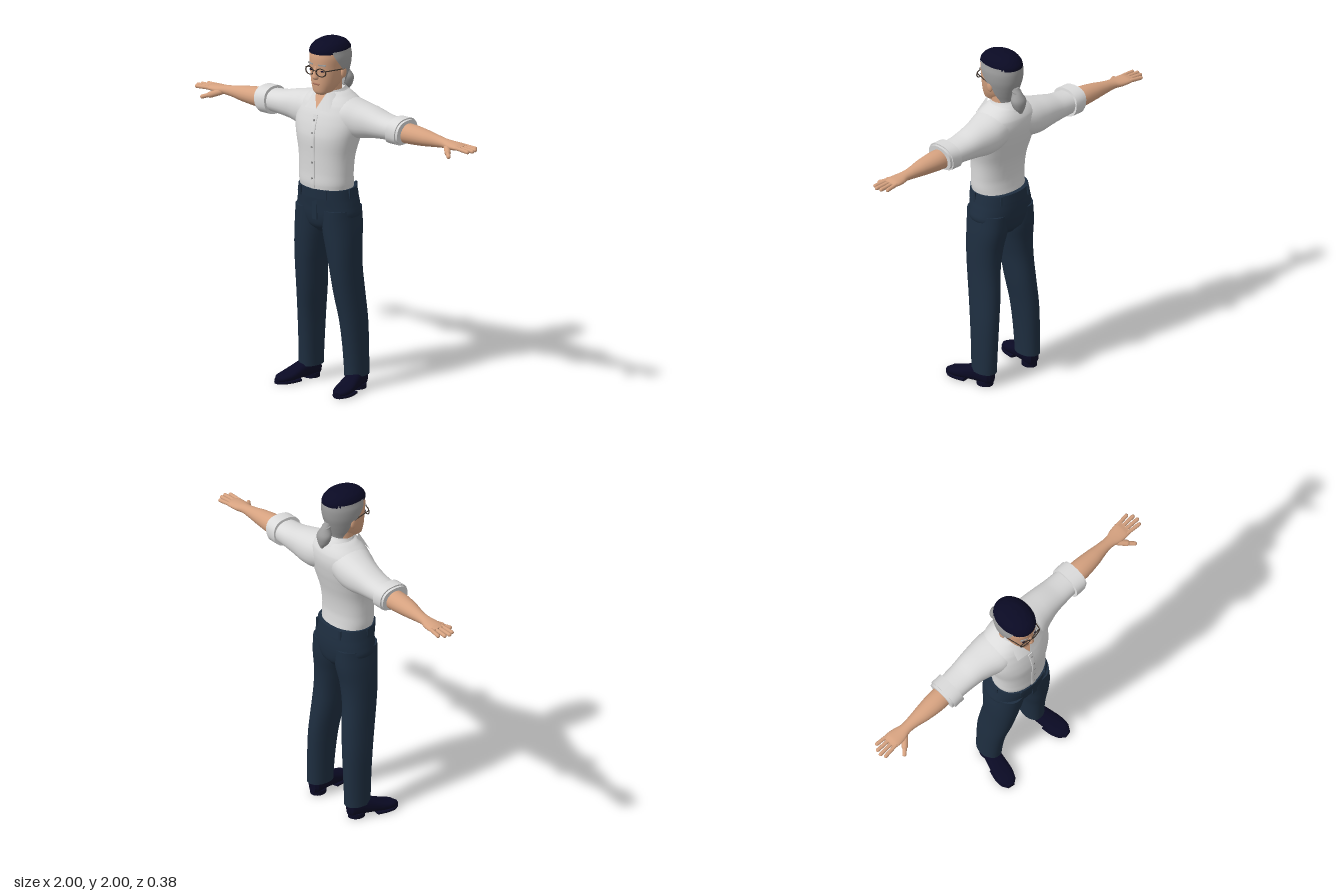
import * as THREE from 'three';

const mat = (name, hex, side = THREE.FrontSide) => {
  const m = new THREE.MeshStandardMaterial({ color: hex, side });
  m.name = name;
  return m;
};

// Smooth loft through oval sections [t, aMin, aMax, bMin, bMax, startAngle].
// axis y: t=y a=x b=z; axis x: t=x a=z b=y; axis z: t=z a=y b=x.
function loft(sections, { axis = 'y', seg = 28, power = 2, caps = true, steps = 4 } = {}) {
  const rows = [];
  const n = sections.length;
  for (let i = 0; i < n - 1; i++) {
    const [p0, p1, p2, p3] = [-1, 0, 1, 2].map(k => sections[THREE.MathUtils.clamp(i + k, 0, n - 1)]);
    for (let s = 0; s < steps; s++) {
      const t = s / steps;
      rows.push(p1.map((v, c) => {
        if (c === 0) return v + (p2[0] - v) * t;
        return 0.5 * (2 * v + (p2[c] - p0[c]) * t + (2 * p0[c] - 5 * v + 4 * p2[c] - p3[c]) * t * t
          + (3 * v - p0[c] - 3 * p2[c] + p3[c]) * t * t * t);
      }));
    }
  }
  rows.push(sections[n - 1]);
  const open = sections[0].length > 5;
  const cols = open ? seg + 1 : seg;
  const pos = [], idx = [];
  const put = (t, a, b) => pos.push(...(axis === 'y' ? [a, t, b] : axis === 'x' ? [t, b, a] : [b, a, t]));
  const curve = v => Math.sign(v) * Math.pow(Math.abs(v), 2 / power);
  const ring = ([t, a0, a1, b0, b1, start = 0]) => {
    for (let j = 0; j < cols; j++) {
      const th = start + (2 * Math.PI - 2 * start) * j / seg;
      put(t, (a0 + a1) / 2 + (a1 - a0) / 2 * curve(Math.sin(th)), (b0 + b1) / 2 + (b1 - b0) / 2 * curve(Math.cos(th)));
    }
  };
  rows.forEach(ring);
  for (let i = 0; i < rows.length - 1; i++) {
    for (let j = 0; j < seg; j++) {
      const k = (j + 1) % cols, a = i * cols + j, b = i * cols + k;
      idx.push(a, b, b + cols, a, b + cols, a + cols);
    }
  }
  if (caps && !open) {
    for (const [row, top] of [[rows[0], false], [rows[rows.length - 1], true]]) {
      const base = pos.length / 3;
      ring(row);
      put(row[0], (row[1] + row[2]) / 2, (row[3] + row[4]) / 2);
      for (let j = 0; j < cols; j++) {
        const k = (j + 1) % cols;
        idx.push(base + cols, base + (top ? j : k), base + (top ? k : j));
      }
    }
  }
  const g = new THREE.BufferGeometry();
  g.setAttribute('position', new THREE.Float32BufferAttribute(pos, 3));
  g.setIndex(idx);
  g.computeVertexNormals();
  return g;
}

// Offset each vertex by a rule
function bend(g, rule) {
  const p = g.attributes.position, v = new THREE.Vector3();
  for (let i = 0; i < p.count; i++) {
    rule(v.fromBufferAttribute(p, i));
    p.setXYZ(i, v.x, v.y, v.z);
  }
  g.computeVertexNormals();
  return g;
}

const polygon = (pts, idx) => {
  const g = new THREE.BufferGeometry();
  g.setAttribute('position', new THREE.Float32BufferAttribute(pts.flat(), 3));
  g.setIndex(idx);
  g.computeVertexNormals();
  return g;
};

export function createModel() {
  const model = new THREE.Group();
  model.name = 'standingMan';
  const skin = mat('skin', 0xd6a280), lip = mat('lip', 0xa8705a), grey = mat('greyHair', 0x9c9c9c);
  const navy = mat('darkNavy', 0x0a0a24), trouser = mat('trouserBlue', 0x1e2e40), white = mat('shirtWhite', 0xdadada);
  const whiteThin = mat('collarWhite', 0xdadada, THREE.DoubleSide);
  const frame = mat('glassesFrame', 0x3a3029), button = mat('buttonGrey', 0x8f8f8f);
  const side = new THREE.Group();
  side.name = 'leftSide';
  const add = (name, geo, m, parent = model, at = [0, 0, 0], scale = [1, 1, 1]) => {
    const mesh = new THREE.Mesh(geo, m);
    mesh.name = name;
    mesh.position.set(...at);
    mesh.scale.set(...scale);
    parent.add(mesh);
    return mesh;
  };
  const sym = rows => rows.map(([y, w, back, front, ...rest]) => [y, -w, w, back, front, ...rest]);
  const rod = (name, a, b, r, m, parent = side) => {
    const va = new THREE.Vector3(...a), d = new THREE.Vector3(...b).sub(va);
    const mesh = add(name, new THREE.CapsuleGeometry(r, d.length(), 4, 10), m, parent);
    mesh.position.copy(va).addScaledVector(d, 0.5);
    mesh.quaternion.setFromUnitVectors(new THREE.Vector3(0, 1, 0), d.normalize());
  };

  // Shirt body with front placket and buttons
  const torso = sym([
    [1.15, 0.158, -0.11, 0.132], [1.19, 0.163, -0.105, 0.137], [1.25, 0.164, -0.102, 0.135], [1.35, 0.171, -0.115, 0.137],
    [1.45, 0.195, -0.142, 0.14], [1.52, 0.21, -0.16, 0.127], [1.58, 0.205, -0.17, 0.108], [1.63, 0.185, -0.166, 0.086],
    [1.66, 0.15, -0.152, 0.068], [1.69, 0.1, -0.13, 0.045], [1.705, 0.07, -0.11, 0.03]]);
  add('shirtBody', loft(torso, { power: 2.2, seg: 36 }), white);
  add('placket', loft(torso.slice(0, 7).map(r => [r[0], -0.016, 0.016, r[4] - 0.02, r[4] + 0.004]), { power: 5, seg: 16 }), white);
  for (const [y, z] of [[1.22, 0.14], [1.31, 0.14], [1.4, 0.143], [1.48, 0.139], [1.55, 0.122]]) {
    add('button', new THREE.CylinderGeometry(0.006, 0.006, 0.006, 10).rotateX(Math.PI / 2), button, model, [0, y, z]);
  }

  // Collar, open neck and throat
  add('collarBand', bend(loft(sym([[1.655, 0.108, -0.145, 0.06, 0.65], [1.685, 0.086, -0.125, 0.05, 0.65], [1.71, 0.072, -0.105, 0.04, 0.65]]),
    { seg: 24 }), v => { v.y -= v.z * 0.12; }), whiteThin);
  add('neck', loft(sym([[1.6, 0.07, -0.1, 0.05], [1.68, 0.06, -0.09, 0.045], [1.76, 0.06, -0.085, 0.05]])), skin);
  add('openNeck', polygon([[-0.042, 1.7, 0.06], [0, 1.608, 0.107], [0.042, 1.7, 0.06]], [0, 1, 2]), skin);
  add('collarWing', polygon([[0.04, 1.705, 0.058], [0.003, 1.612, 0.112], [0.086, 1.605, 0.1], [0.075, 1.695, 0.02]],
    [0, 1, 2, 0, 2, 3]), whiteThin, side);

  // Sleeve and rolled cuff
  add('sleeve', loft([
    [0.06, -0.16, 0.075, 1.47, 1.68], [0.14, -0.168, 0.075, 1.45, 1.667], [0.21, -0.165, 0.05, 1.45, 1.65],
    [0.28, -0.158, 0.03, 1.463, 1.634], [0.36, -0.15, 0.02, 1.472, 1.613], [0.46, -0.145, 0.015, 1.478, 1.602]],
  { axis: 'x', power: 2.2 }), white, side);
  const cuffs = [[0.435, 0.5, 0], [0.47, 0.515, 0.008]];
  for (const [x0, x1, s] of cuffs) {
    const r = [-0.157 + s, 0.032 - s, 1.463 + s, 1.617 - s];
    add('rolledCuff', bend(loft([[x0, ...r], [x1, ...r]], { axis: 'x', power: 2.4, steps: 1 }),
      v => { v.x += (v.y - 1.54) * 0.13; }), white, side);
  }

  // Forearm, palm, fingers and thumb
  add('forearm', loft([
    [0.47, -0.125, -0.008, 1.475, 1.59], [0.56, -0.125, -0.006, 1.478, 1.588], [0.66, -0.115, -0.018, 1.486, 1.575],
    [0.74, -0.105, -0.035, 1.495, 1.56], [0.79, -0.103, -0.036, 1.5, 1.552], [0.83, -0.115, -0.026, 1.5, 1.547],
    [0.88, -0.122, -0.024, 1.505, 1.543], [0.91, -0.118, -0.028, 1.51, 1.535]], { axis: 'x', seg: 20 }), skin, side);
  [[-0.109, 0.96], [-0.085, 0.982], [-0.061, 0.988], [-0.038, 0.975]].forEach(([z, x]) =>
    rod('finger', [0.89, 1.525, z], [x, 1.52, z + (z + 0.07) * 0.2], 0.011, skin));
  rod('thumbBase', [0.815, 1.515, -0.045], [0.855, 1.5, -0.005], 0.018, skin);
  rod('thumb', [0.85, 1.502, -0.008], [0.887, 1.49, 0.025], 0.012, skin);

  // Trousers
  add('trouserLeg', loft([
    [0.08, 0.106, 0.222, -0.127, 0.03], [0.25, 0.098, 0.219, -0.13, 0.04], [0.4, 0.085, 0.215, -0.13, 0.056],
    [0.55, 0.062, 0.207, -0.12, 0.08], [0.7, 0.045, 0.203, -0.106, 0.1], [0.82, 0.022, 0.202, -0.11, 0.112],
    [0.93, 0, 0.197, -0.128, 0.12], [1.04, 0, 0.185, -0.132, 0.126]], { power: 2.2 }), trouser, side);
  add('trouserSeat', loft(sym([
    [0.9, 0.05, -0.09, 0.07], [0.94, 0.13, -0.125, 0.11], [1, 0.19, -0.137, 0.126], [1.06, 0.185, -0.14, 0.132],
    [1.12, 0.172, -0.136, 0.138]]), { power: 2.3, seg: 36 }), trouser);
  add('waistband', loft(sym([[1.11, 0.176, -0.138, 0.141], [1.16, 0.166, -0.132, 0.142]]), { power: 2.3, seg: 36, steps: 1 }), trouser);
  add('fly', new THREE.BoxGeometry(0.03, 0.13, 0.008), trouser, model, [0.012, 1.05, 0.131]);
  for (const [x, z, turn] of [[0.09, 0.129, 0.3], [0.171, 0.02, 1.57], [0.1, -0.12, 2.7]]) {
    add('beltLoop', new THREE.BoxGeometry(0.012, 0.055, 0.01), trouser, side, [x, 1.136, z]).rotation.y = turn;
  }

  // Shoe with toe turned out
  const shoe = new THREE.Group();
  shoe.name = 'shoe';
  shoe.position.x = 0.18;
  shoe.rotation.y = 0.2;
  side.add(shoe);
  const last = [
    [-0.112, 0.02, 0.085, -0.022, 0.022], [-0.095, 0.012, 0.108, -0.04, 0.04], [-0.02, 0.012, 0.112, -0.045, 0.045],
    [0.05, 0.01, 0.086, -0.05, 0.052], [0.11, 0.008, 0.062, -0.053, 0.055], [0.16, 0.008, 0.049, -0.042, 0.044], [0.188, 0.01, 0.034, -0.018, 0.02]];
  add('shoeUpper', loft(last, { axis: 'z', power: 2.4 }), navy, shoe);
  add('shoeSole', loft(last.slice(3).map(r => [r[0], 0, 0.018, r[3] - 0.002, r[4] + 0.002]), { axis: 'z', power: 5 }), navy, shoe);
  add('shoeHeel', new THREE.CylinderGeometry(0.042, 0.042, 0.026, 20), navy, shoe, [0, 0.013, -0.06], [1, 1, 1.15]);

  // Head, nose and mouth
  add('head', loft(sym([
    [1.69, 0.03, 0.03, 0.085], [1.705, 0.052, -0.02, 0.1], [1.75, 0.073, -0.07, 0.106], [1.8, 0.086, -0.1, 0.108],
    [1.85, 0.093, -0.125, 0.111], [1.9, 0.098, -0.138, 0.113], [1.94, 0.094, -0.135, 0.108]]), { power: 2.2 }), skin);
  add('nose', loft(sym([[1.782, 0.012, 0.09, 0.118], [1.793, 0.019, 0.09, 0.131], [1.815, 0.013, 0.09, 0.128],
    [1.86, 0.009, 0.09, 0.113]]), { seg: 14 }), skin);
  const ball = new THREE.SphereGeometry(1, 16, 10);
  add('mouth', ball, lip, model, [0, 1.755, 0.104], [0.026, 0.006, 0.005]);
  add('ear', ball, skin, side, [0.093, 1.815, -0.02], [0.012, 0.034, 0.02]);
  add('eye', ball, navy, side, [0.038, 1.832, 0.1], [0.014, 0.005, 0.005]);
  add('eyebrow', new THREE.BoxGeometry(0.044, 0.008, 0.008), grey, side, [0.04, 1.868, 0.103]).rotation.y = 0.3;

  // Glasses
  const rim = add('glassesRim', new THREE.TorusGeometry(0.026, 0.0032, 6, 24), frame, side, [0.041, 1.828, 0.113], [1.2, 0.85, 1]);
  rim.rotation.y = 0.15;
  rod('glassesArm', [0.073, 1.84, 0.106], [0.1, 1.835, -0.015], 0.003, frame);
  rod('glassesBridge', [-0.012, 1.835, 0.119], [0.012, 1.835, 0.119], 0.003, frame, model);

  // Grey sides and back, dark crown, tied ponytail
  add('greyHair', loft(sym([
    [1.715, 0.062, -0.1, 0.05, 2.1], [1.76, 0.083, -0.115, 0.1, 1.95], [1.81, 0.097, -0.132, 0.112, 1.75],
    [1.85, 0.105, -0.143, 0.116, 1.4], [1.9, 0.107, -0.147, 0.118, 1.1], [1.94, 0.1, -0.143, 0.113, 0.95]]),
  { power: 2.1 }), mat('greyHairThin', 0x9c9c9c, THREE.DoubleSide));
  add('darkCrown', loft(sym([
    [1.928, 0.1, -0.147, 0.118], [1.95, 0.096, -0.142, 0.112], [1.975, 0.08, -0.118, 0.088],
    [1.992, 0.052, -0.082, 0.05], [2, 0.015, -0.03, 0]]), { power: 2.1 }), navy);
  add('ponytail', loft(sym([
    [1.67, 0.01, -0.177, -0.16], [1.7, 0.034, -0.187, -0.128], [1.745, 0.046, -0.19, -0.112],
    [1.785, 0.027, -0.168, -0.112], [1.815, 0.02, -0.145, -0.1]]), { seg: 18 }), grey);
  add('hairTie', new THREE.TorusGeometry(0.023, 0.006, 8, 18).rotateX(Math.PI / 2 - 0.4), grey, model, [0, 1.795, -0.135]);

  // Mirror the left side
  model.add(side);
  const right = side.clone();
  right.name = 'rightSide';
  right.scale.x = -1;
  model.add(right);
  return model;
}
